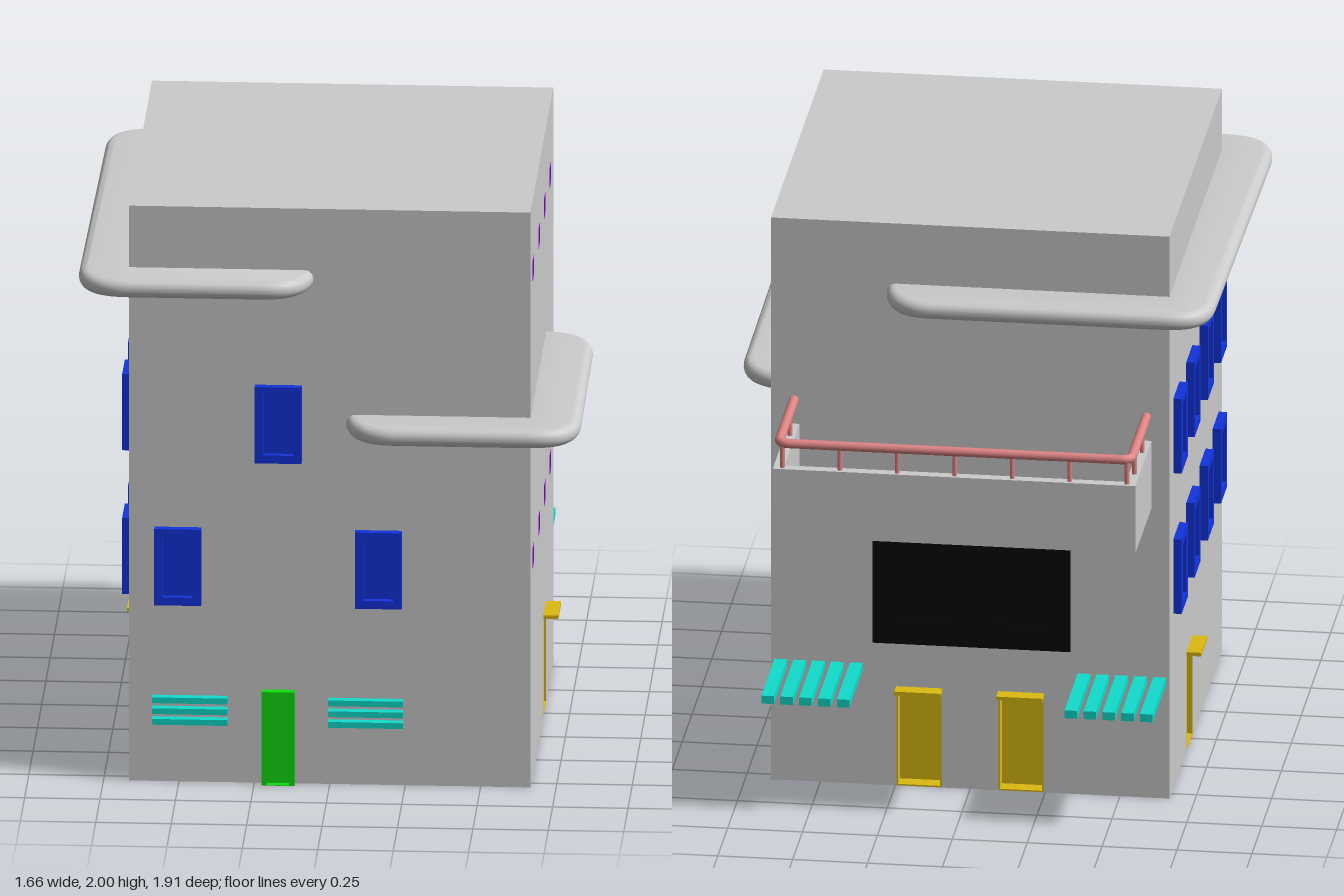
import * as THREE from 'three';
import { toCreasedNormals } from 'three/addons/utils/BufferGeometryUtils.js';

const W = 1.33, D = 1.34, H = 2, ZC = 0.125;

const paint = (color) => new THREE.MeshStandardMaterial({ color, side: THREE.DoubleSide });

export function createModel() {
  const model = new THREE.Group();
  const grey = paint(0xcccccc), blue = paint(0x1133dd), green = paint(0x11dd11);
  const cyan = paint(0x11ddcc), yellow = paint(0xddbb11), purple = paint(0x9911dd);
  const pink = paint(0xe08585), black = paint(0x060606);

  const add = (parent, name, geo, mat) => {
    const mesh = new THREE.Mesh(geo, mat);
    mesh.name = name;
    parent.add(mesh);
    return mesh;
  };
  // Box given by its min and max corners
  const box = (parent, name, mat, [x0, y0, z0], [x1, y1, z1]) => {
    const geo = new THREE.BoxGeometry(x1 - x0, y1 - y0, z1 - z0);
    return add(parent, name, geo.translate((x0 + x1) / 2, (y0 + y1) / 2, (z0 + z1) / 2), mat);
  };
  const outline = (path, x0, y0, x1, y1) =>
    path.moveTo(x0, y0).lineTo(x1, y0).lineTo(x1, y1).lineTo(x0, y1).closePath();
  // Rectangular ring of given border, from depth z0 to z1
  const frame = (parent, name, mat, x, y, w, h, border, z0, z1, foot = border) => {
    const s = outline(new THREE.Shape(), x - w / 2, y, x + w / 2, y + h);
    s.holes.push(outline(new THREE.Path(), x - w / 2 + border, y + foot, x + w / 2 - border, y + h - border));
    const geo = new THREE.ExtrudeGeometry(s, { depth: z1 - z0, bevelEnabled: false });
    return add(parent, name, geo.translate(0, 0, z0), mat);
  };

  // Walls in local space: x to the viewer's right, y up, z outwards
  const wall = (name, w, position, angle, openings = []) => {
    const side = new THREE.Group();
    side.name = name;
    side.position.set(...position);
    side.rotation.y = angle;
    const s = outline(new THREE.Shape(), -w / 2, 0, w / 2, H);
    for (const [x, y, ow, oh] of openings) {
      s.holes.push(outline(new THREE.Path(), x - ow / 2, y, x + ow / 2, y + oh));
    }
    add(side, name + 'Surface', new THREE.ShapeGeometry(s), grey);
    model.add(side);
    return side;
  };
  const bays = [0.63, 0.295, -0.04, -0.37];
  const nicheSpots = [0.72, 1.72].flatMap((y) => bays.map((z) => [ZC - z, y, 0.07, 0.07]));
  const doorway = (x) => [x, 0.001, 0.15, 0.34];
  const rightDoor = doorway(0.165), leftDoor = doorway(-0.165);
  const backDoors = [doorway(-0.17), doorway(0.17)];
  const front = wall('frontWall', W, [0, 0, ZC + D / 2], 0);
  const back = wall('backWall', W, [0, 0, ZC - D / 2], Math.PI, backDoors);
  const plusX = wall('leftWall', D, [W / 2, 0, ZC], Math.PI / 2, [...nicheSpots, rightDoor]);
  const minusX = wall('rightWall', D, [-W / 2, 0, ZC], -Math.PI / 2, [leftDoor]);
  const roof = new THREE.PlaneGeometry(W, D).rotateX(-Math.PI / 2);
  add(model, 'roof', roof.translate(0, H, ZC), grey);

  // Windows: projecting frame around a set-back pane
  const windowAt = (side, x, y) => {
    frame(side, 'windowFrame', blue, x, y, 0.155, 0.265, 0.028, -0.02, 0.028);
    box(side, 'windowPane', blue, [x - 0.06, y + 0.015, -0.02], [x + 0.06, y + 0.25, 0.006]);
  };
  windowAt(front, -0.17, 1.12);
  windowAt(front, -0.503, 0.62);
  windowAt(front, 0.162, 0.62);
  for (const y of [0.62, 1.12]) for (const z of bays) windowAt(minusX, z - ZC, y);

  // Recesses lined with a thin ring and closed by a back plate
  const recess = (side, name, mat, [x, y, w, h], depth) => {
    frame(side, name + 'Lining', mat, x, y, w, h, 0.005, -depth, 0.001);
    box(side, name + 'Panel', mat, [x - w / 2, y, -depth - 0.005], [x + w / 2, y + h, -depth]);
  };
  for (const spot of nicheSpots) recess(plusX, 'niche', purple, spot, 0.025);

  // Recessed doors with a projecting canopy
  const recessedDoor = (side, spot) => {
    recess(side, 'sideDoor', yellow, spot, 0.05);
    box(side, 'doorCanopy', yellow, [spot[0] - 0.077, 0.34, -0.05], [spot[0] + 0.077, 0.353, 0.05]);
  };
  recessedDoor(plusX, rightDoor);
  recessedDoor(minusX, leftDoor);
  backDoors.forEach((spot) => recessedDoor(back, spot));

  // Front door
  frame(front, 'frontDoorFrame', green, -0.17, 0, 0.11, 0.325, 0.018, -0.02, 0.03, 0.002);
  box(front, 'frontDoorPanel', green, [-0.22, 0, -0.02], [-0.12, 0.315, 0.006]);

  // Horizontal louvers beside the front door
  for (const x of [-0.463, 0.12]) {
    for (const y of [0.215, 0.252, 0.29]) {
      box(front, 'louver', cyan, [x - 0.125, y - 0.01, -0.01], [x + 0.125, y + 0.01, 0.03]);
    }
  }

  // Dark glazing under the balcony
  box(back, 'backGlazing', black, [-0.325, 0.505, -0.01], [0.335, 1.03, 0.003]);
  for (const x of [-0.15, 0.16]) frame(back, 'glazingFrame', black, x, 0.58, 0.2, 0.36, 0.015, 0, 0.005);

  // Slatted awnings
  for (const s of [-1, 1]) {
    for (let i = 0; i < 5; i++) {
      const x = s * (0.38 + i * 0.063);
      box(back, 'awningSlat', cyan, [x - 0.021, 0.402, 0], [x + 0.021, 0.43, 0.335]);
    }
  }

  // Balcony: floor and three parapets
  const bx = 0.605, bz = 0.41, t = 0.035, y0 = 1.03, y1 = 1.27;
  box(back, 'balconyFloor', grey, [-bx, y0, 0], [bx, y0 + 0.035, bz]);
  box(back, 'balconyParapet', grey, [-bx, y0, bz - t], [bx, y1, bz]);
  for (const s of [-1, 1]) {
    const c = s * (bx - t / 2);
    box(back, 'balconyParapet', grey, [c - t / 2, y0, 0], [c + t / 2, y1, bz - t]);
  }

  // Balcony handrail and posts
  const rx = 0.588, rz = 0.392, ry = 1.355, r = 0.035;
  const v = (x, z) => new THREE.Vector3(x, ry, z);
  const rail = new THREE.CurvePath();
  rail.add(new THREE.LineCurve3(v(-rx, 0), v(-rx, rz - r)));
  rail.add(new THREE.QuadraticBezierCurve3(v(-rx, rz - r), v(-rx, rz), v(-rx + r, rz)));
  rail.add(new THREE.LineCurve3(v(-rx + r, rz), v(rx - r, rz)));
  rail.add(new THREE.QuadraticBezierCurve3(v(rx - r, rz), v(rx, rz), v(rx, rz - r)));
  rail.add(new THREE.LineCurve3(v(rx, rz - r), v(rx, 0)));
  add(back, 'handrail', new THREE.TubeGeometry(rail, 160, 0.016, 10), pink);
  const post = (x, z) => add(back, 'railPost',
    new THREE.CylinderGeometry(0.008, 0.008, ry - y1, 8).translate(x, (ry + y1) / 2, z), pink);
  for (let i = 0; i < 7; i++) post(-0.575 + i * 0.1917, rz);
  for (const s of [-1, 1]) for (const z of [0.105, 0.3]) post(s * rx, z);

  // Round-edged ledges wrapping the corners, drawn in plan as (x, -z)
  const ledge = (name, y, shape) => {
    const geo = new THREE.ExtrudeGeometry(shape, {
      depth: 0.002, bevelThickness: 0.03, bevelSize: 0.03, bevelOffset: -0.03, bevelSegments: 5, curveSegments: 10,
    });
    geo.rotateX(-Math.PI / 2).translate(0, y - 0.001, 0);
    add(model, name, toCreasedNormals(geo, 0.7), grey);
  };
  const upper = new THREE.Shape();
  upper.moveTo(-0.05, -0.75).lineTo(-0.055, -0.8);
  upper.quadraticCurveTo(-0.075, -0.95, -0.22, -0.952);
  upper.lineTo(-0.66, -0.952).quadraticCurveTo(-0.83, -0.952, -0.832, -0.78);
  upper.lineTo(-0.82, 0.55).quadraticCurveTo(-0.82, 0.712, -0.66, 0.712);
  upper.lineTo(0.12, 0.712).quadraticCurveTo(0.26, 0.712, 0.278, 0.55);
  upper.lineTo(0.28, 0.5).lineTo(-0.62, 0.5).lineTo(-0.62, -0.75).closePath();
  ledge('upperLedge', 1.755, upper);

  const lower = new THREE.Shape();
  lower.moveTo(0.05, -0.75).lineTo(0.055, -0.8);
  lower.quadraticCurveTo(0.075, -0.955, 0.22, -0.955);
  lower.lineTo(0.66, -0.955).quadraticCurveTo(0.83, -0.955, 0.832, -0.78);
  lower.lineTo(0.828, -0.01).quadraticCurveTo(0.82, 0.14, 0.665, 0.16);
  lower.lineTo(0.62, 0.162).lineTo(0.62, -0.75).closePath();
  ledge('lowerLedge', 1.255, lower);

  return model;
}
